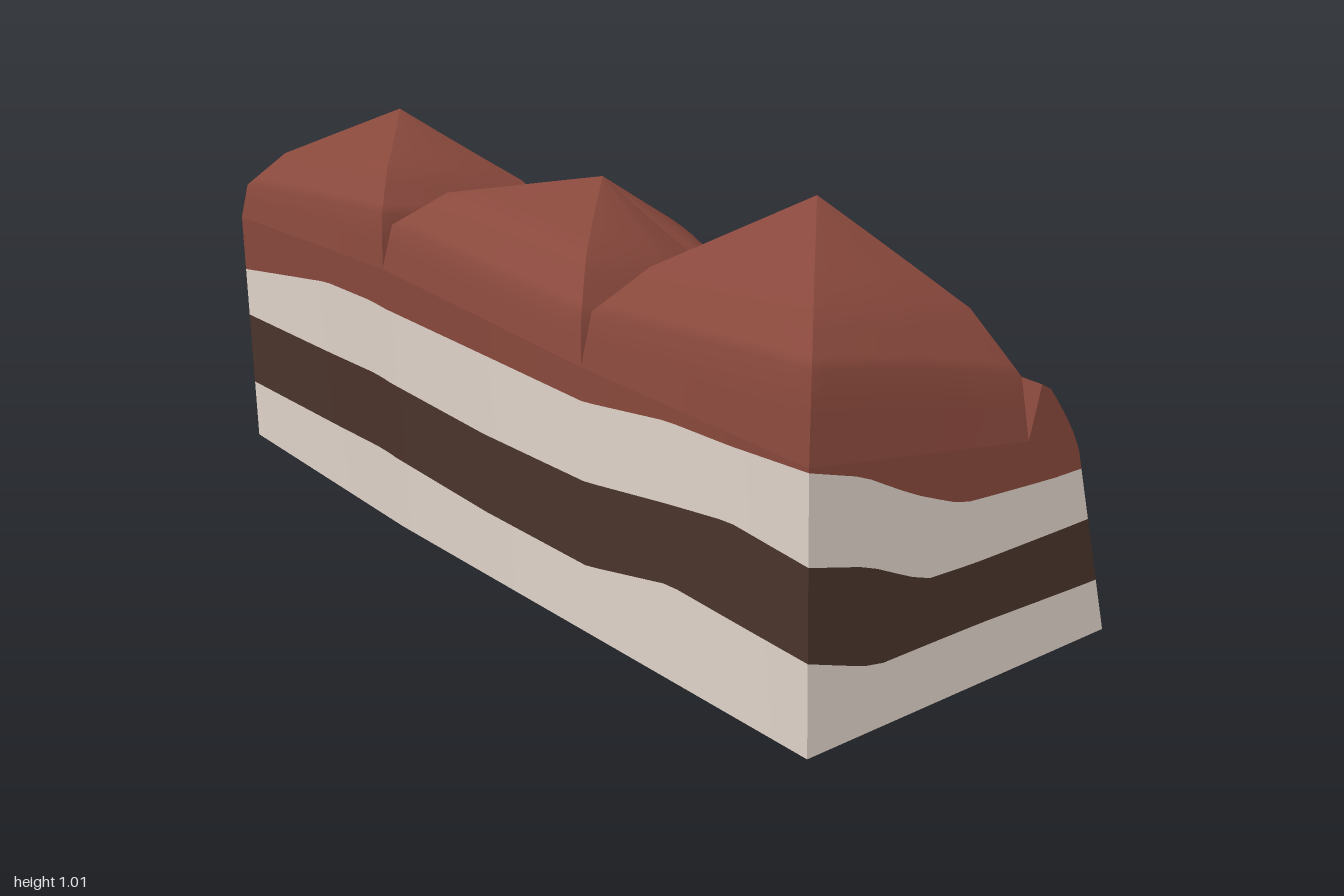
import * as THREE from 'three';

const { lerp } = THREE.MathUtils;

// Piecewise linear lookup: xs ascending
function pick(xs, ys, x) {
  let i = 0;
  while (i < xs.length - 2 && x > xs[i + 1]) i++;
  return lerp(ys[i], ys[i + 1], THREE.MathUtils.clamp((x - xs[i]) / (xs[i + 1] - xs[i]), 0, 1));
}

// Smooth surface through rows of points; rows run up, columns run around
function sheet(rows) {
  const n = rows[0].length, pos = rows.flat(2), idx = [];
  for (let r = 0; r < rows.length - 1; r++) {
    for (let c = 0; c < n - 1; c++) {
      const a = r * n + c, b = a + 1, d = a + n, e = d + 1;
      idx.push(a, b, e, a, e, d);
    }
  }
  const g = new THREE.BufferGeometry();
  g.setAttribute('position', new THREE.Float32BufferAttribute(pos, 3));
  g.setIndex(idx);
  g.computeVertexNormals();
  return g;
}

// Crown plan: the four lines that separate the three domes
const X = [-1, -0.335, 0.335, 1];
const FRONT_Z = [0.42, 0.457, 0.43, 0.427], BACK_Z = [-0.06, -0.09, -0.2, -0.18];
const FRONT_Y = [0.6, 0.66, 0.63, 0.64], BACK_Y = [0.6, 0.51, 0.36, 0.52];
const BASE_Z = [0.41, 0.43, 0.42, 0.41];
const ARCH = [0.08, 0.17, 0];
const frontZ = x => pick(X, FRONT_Z, x), backZ = x => pick(X, BACK_Z, x);
const frontY = x => pick(X, FRONT_Y, x);
function backY(x) {
  const i = x < X[1] ? 0 : x < X[2] ? 1 : 2;
  const u = 2 * (x - X[i]) / (X[i + 1] - X[i]) - 1;
  return pick(X, BACK_Y, x) + ARCH[i] * (1 - u * u);
}
// Rim height along the line between two domes
const sideY = (x, z) => lerp(pick(X, BACK_Y, x), frontY(x), (z - backZ(x)) / (frontZ(x) - backZ(x)));

// Peaks, and for each crease the height fractions at its two bends;
// creases run front right, front left, back left, back right
const SLOPES = ['frontSlope', 'leftSlope', 'backSlope', 'rightSlope'];
const DOMES = [
  { name: 'rightDome', c: [-0.67, 0.9, 0.17], f: [[0.57, 0.28], [0.8, 0.5], [0.6, 0.32], [0.35, 0.15]] },
  { name: 'middleDome', c: [0, 0.885, 0.1], f: [[0.8, 0.46], [0.75, 0.4], [0.52, 0.22], [0.6, 0.32]] },
  { name: 'leftDome', c: [0.665, 1.01, 0.1], f: [[0.58, 0.32], [0.73, 0.49], [0.56, 0.28], [0.46, 0.15]] },
];
const creaseFall = (bends, t) => pick([0, 0.7, 0.95, 1], [1, ...bends, 0], t);

// Heights of the three rock layer boundaries on each wall
const FRONT_BANDS = { at: [-1, -0.6, -0.4, 0, 0.34, 0.6, 0.78, 1], y: [
  [0.165, 0.185, 0.197, 0.18, 0.18, 0.24, 0.235, 0.23],
  [0.345, 0.37, 0.385, 0.37, 0.375, 0.42, 0.448, 0.435],
  [0.465, 0.55, 0.565, 0.56, 0.555, 0.6, 0.61, 0.63]] };
const BACK_BANDS = { at: [-1, -0.67, -0.335, 0, 0.34, 0.86, 0.93, 1], y: [
  [0.155, 0.18, 0.19, 0.2, 0.17, 0.16, 0.15, 0.13],
  [0.39, 0.39, 0.37, 0.38, 0.34, 0.32, 0.3, 0.285],
  [0.59, 0.62, 0.5, 0.58, 0.5, 0.6, 0.56, 0.41]] };
const LEFT_BANDS = { at: [0, 0.22, 0.42, 0.6, 1], y: [
  [0.23, 0.16, 0.155, 0.15, 0.13],
  [0.435, 0.385, 0.305, 0.295, 0.285],
  [0.63, 0.58, 0.5, 0.44, 0.41]] };
const RIGHT_BANDS = { at: [0, 1], y: [[0.155, 0.165], [0.39, 0.345], [0.59, 0.465]] };
const bandsAt = (table, p) => table.y.map(ys => pick(table.at, ys, p));

// Back slope leans in, and swells outward towards the left end
const swell = x => Math.max(0, (x - X[2]) / (1 - X[2]));
const ridgeLift = x => pick([0.42, 0.6, 0.7, 0.85, 1], [0, 0.06, 0.105, 0.145, 0.115], x);
const ridge = x => [x, backY(x) + ridgeLift(x), backZ(x) - 0.03 * Math.min(1, 3 * swell(x))];
const backBase = x => [x, 0, -0.365 - 0.095 * x];
const frontBase = x => [x, 0.02, pick(X, BASE_Z, x)];
const bulged = f => pick([0, 0.65, 0.74, 0.835, 0.97, 1], [0, 0.44, 0.5, 0.64, 0.88, 1], f);

function columnPoint(col, h) {
  const [a, b] = [col.base, col.top];
  const f = (h - a[1]) / (b[1] - a[1]);
  const g = lerp(f, bulged(f), col.bulge);
  return [lerp(a[0], b[0], g), h, lerp(a[2], b[2], g)];
}

export function createModel() {
  const group = new THREE.Group();
  const paint = (name, hex) => {
    const m = new THREE.MeshStandardMaterial({ color: hex, side: THREE.DoubleSide });
    m.name = name;
    return m;
  };
  const red = paint('redRock', 0x8a493d);
  const pale = paint('paleRock', 0xe1d5cb);
  const dark = paint('darkRock', 0x4b342b);
  const add = (parent, name, geometry, material) => {
    const m = new THREE.Mesh(geometry, material);
    m.name = name;
    parent.add(m);
  };

  // Domes: four slopes stretched between the creases that run down from the peak
  DOMES.forEach((d, i) => {
    const dome = new THREE.Group();
    dome.name = d.name;
    const [cx, cy, cz] = d.c;
    const place = (u, v) => {
      const x = u < 0 ? lerp(cx, X[i], -u) : lerp(cx, X[i + 1], u);
      return [x, lerp(cz, v > 0 ? frontZ(x) : backZ(x), Math.abs(v))];
    };
    SLOPES.forEach((name, k) => {
      const rows = [1, 0.975, 0.95, 0.9, 0.8, 0.7, 0.5, 0.25, 0].map(t => {
        const fallA = creaseFall(d.f[k], t), fallB = creaseFall(d.f[(k + 1) % 4], t);
        const row = [];
        for (let j = 0; j <= 16; j++) {
          const s = j / 8 - 1;
          const [u, v] = [[s, 1], [1, -s], [-s, -1], [-1, s]][k];
          const [ex, ez] = place(u, v);
          const edge = k === 0 ? frontY(ex) : k === 2 ? backY(ex) : sideY(ex, ez);
          const [x, z] = place(u * t, v * t);
          row.push([x, lerp(edge, cy, lerp(fallA, fallB, j / 16)), z]);
        }
        return row;
      });
      add(dome, name, sheet(rows), red);
    });
    group.add(dome);
  });

  // Columns for the four walls, running round from the front right corner
  const xs = [];
  for (let i = 0; i < 3; i++) {
    for (let j = 0; j < 16; j++) xs.push(lerp(X[i], X[i + 1], j / 16));
  }
  xs.push(1);
  const front = xs.map(x => ({
    base: frontBase(x), top: [x, frontY(x), frontZ(x)], bulge: 0, bands: bandsAt(FRONT_BANDS, x),
  }));
  const back = [...xs].reverse().map(x => ({
    base: backBase(x), top: ridge(x), bulge: swell(x), bands: bandsAt(BACK_BANDS, x),
  }));
  const sideWall = (x, table, params, turn) => params.map(s => {
    const a = frontBase(x), b = backBase(x), r = ridge(x);
    const q = turn ? 1 - s : s;
    const z = lerp(frontZ(x), r[2], q);
    const y = z < backZ(x) ? lerp(backY(x), r[1], (backZ(x) - z) / 0.03) : sideY(x, z);
    return {
      base: a.map((v, i) => lerp(v, b[i], q)), top: [x, y, z],
      bulge: swell(x) * q ** 4, bands: bandsAt(table, s),
    };
  });
  const steps = [...Array(16).keys()].map(i => i / 16);
  const left = sideWall(1, LEFT_BANDS, [...steps, 0.953, 1], false);
  const right = sideWall(-1, RIGHT_BANDS, [...steps, 1], true);

  // Each wall is cut into four rock layers
  const layers = [['bottomLayer', pale], ['darkLayer', dark], ['upperLayer', pale], ['redLayer', red]];
  Object.entries({ front, left, back, right }).forEach(([side, cols]) => {
    const wall = new THREE.Group();
    wall.name = side + 'Wall';
    layers.forEach(([name, material], k) => {
      const rows = [0, 0.2, 0.4, 0.6, 0.8, 0.92, 1].map(f => cols.map(c => {
        const cuts = [c.base[1], ...c.bands, c.top[1]].map(h => Math.min(h, c.top[1]));
        return columnPoint(c, lerp(cuts[k], cuts[k + 1], f));
      }));
      add(wall, name, sheet(rows), material);
    });
    group.add(wall);
  });

  // Inner face of the low ridge behind the left dome
  const lip = xs.filter(x => x >= X[2]).reverse();
  add(group, 'ridgeInnerFace', sheet([lip.map(ridge), lip.map(x => [x, backY(x), backZ(x)])]), red);

  return group;
}
